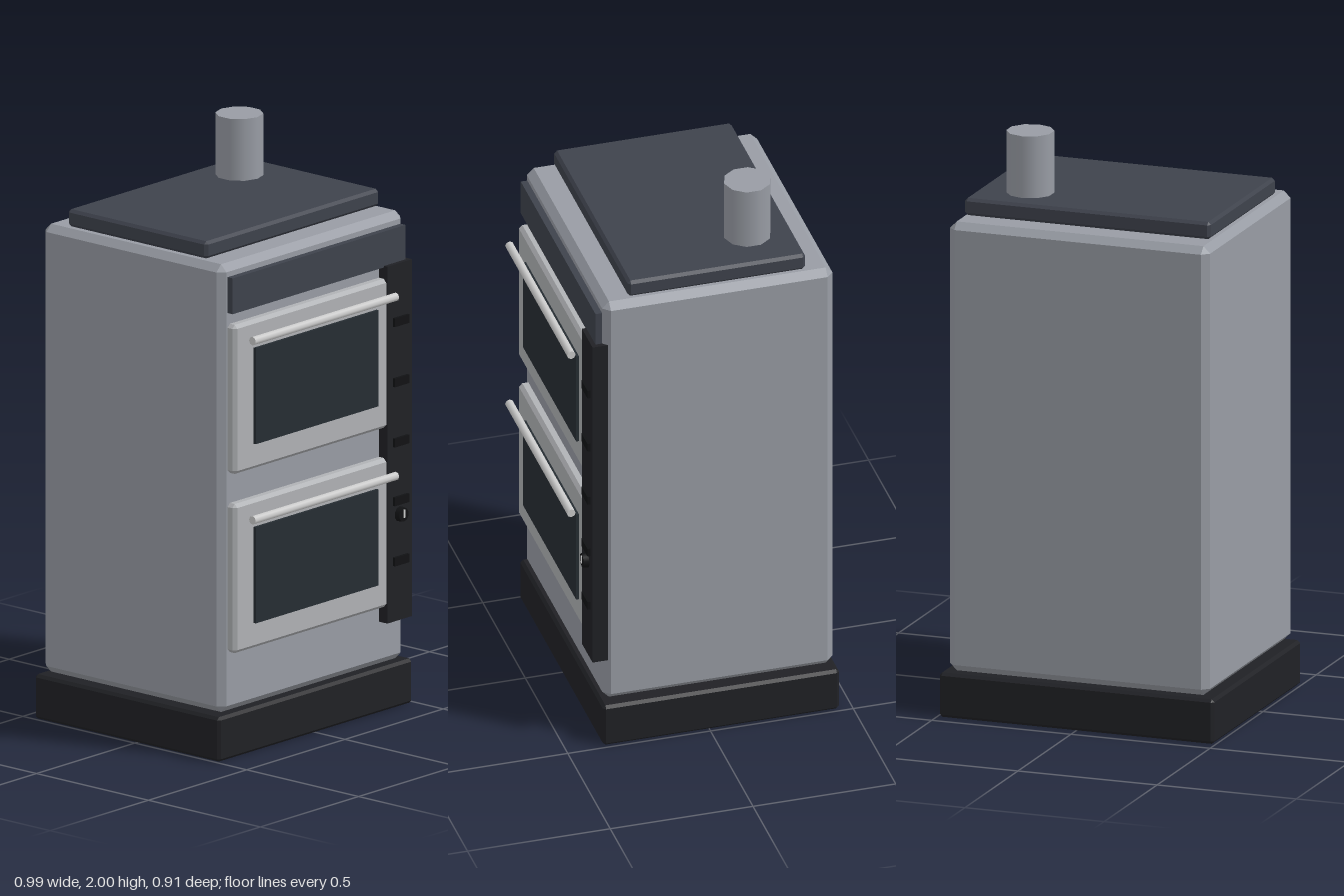
import * as THREE from 'three';
import { ConvexGeometry } from 'three/addons/geometries/ConvexGeometry.js';

const mat = (color) => new THREE.MeshStandardMaterial({ color });

// Box between two extents per axis, with every edge chamfered by c
function chamferedBox([x0, x1], [y0, y1], [z0, z1], c) {
  const half = [(x1 - x0) / 2, (y1 - y0) / 2, (z1 - z0) / 2];
  const points = [];
  for (const sx of [-1, 1]) for (const sy of [-1, 1]) for (const sz of [-1, 1]) {
    for (let face = 0; face < 3; face++) {
      const [x, y, z] = half.map((h, i) => (i === face ? h : h - c));
      points.push(new THREE.Vector3(sx * x, sy * y, sz * z));
    }
  }
  return new ConvexGeometry(points).translate((x0 + x1) / 2, (y0 + y1) / 2, (z0 + z1) / 2);
}

function plainBox([x0, x1], [y0, y1], [z0, z1]) {
  return new THREE.BoxGeometry(x1 - x0, y1 - y0, z1 - z0)
    .translate((x0 + x1) / 2, (y0 + y1) / 2, (z0 + z1) / 2);
}

export function createModel() {
  const model = new THREE.Group();
  model.name = 'doubleOven';
  const steel = mat(0x989ca4), doorSteel = mat(0xb0b2b5), slate = mat(0x3e424c);
  const black = mat(0x202125), knobBlack = mat(0x111214), glass = mat(0x262d33), bright = mat(0xcccccc);

  const add = (name, geometry, material, parent = model) => {
    const mesh = new THREE.Mesh(geometry, material);
    mesh.name = name;
    parent.add(mesh);
    return mesh;
  };

  // Cabinet
  add('plinth', chamferedBox([-0.495, 0.492], [0, 0.155], [-0.455, 0.373], 0.01), black);
  add('body', chamferedBox([-0.47, 0.464], [0.16, 1.722], [-0.445, 0.362], 0.024), steel);
  add('topCap', chamferedBox([-0.443, 0.44], [1.725, 1.785], [-0.352, 0.27], 0.01), slate);
  add('upperPanel', plainBox([-0.44, 0.44], [1.555, 1.68], [0.34, 0.385]), slate);

  // Flue pipe
  add('flue', new THREE.CylinderGeometry(0.081, 0.081, 0.215, 10), steel)
    .position.set(0.26, 1.8925, -0.2);

  // Two oven doors, each with a window and a bar handle
  [['lowerDoor', 0.37], ['upperDoor', 0.995]].forEach(([name, y]) => {
    const door = new THREE.Group();
    door.name = name;
    model.add(door);
    add('doorPanel', chamferedBox([-0.44, 0.375], [y, y + 0.52], [0.345, 0.395], 0.012), doorSteel, door);
    add('window', plainBox([-0.345, 0.28], [y + 0.09, y + 0.425], [0.375, 0.405]), glass, door);
    const handle = add('handle', new THREE.CylinderGeometry(0.015, 0.015, 0.73, 8), bright, door);
    handle.rotation.z = Math.PI / 2;
    handle.position.set(-0.034, y + 0.467, 0.437);
  });

  // Control strip with buttons and a dial
  add('controlStrip', plainBox([0.33, 0.456], [0.315, 1.56], [0.345, 0.4]), black);
  for (const y of [0.525, 0.735, 0.94, 1.15, 1.36]) {
    add('button', plainBox([0.358, 0.43], [y - 0.015, y + 0.015], [0.39, 0.41]), knobBlack);
  }
  const dial = add('dial', new THREE.CylinderGeometry(0.024, 0.028, 0.03, 10), knobBlack);
  dial.rotation.x = Math.PI / 2;
  dial.position.set(0.393, 0.685, 0.404);
  add('dialMark', plainBox([0.39, 0.396], [0.675, 0.703], [0.41, 0.422]), bright);

  return model;
}
